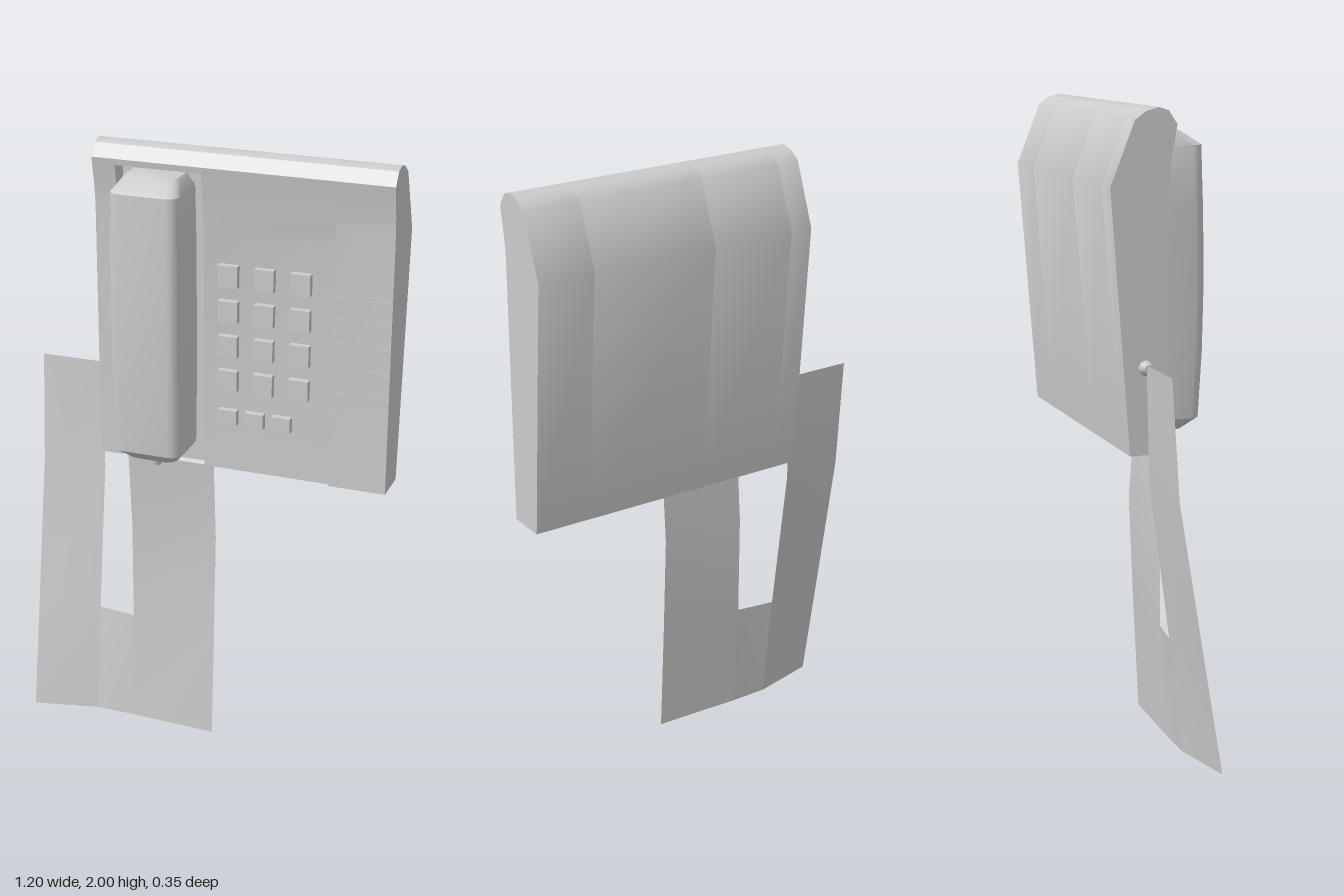
import * as THREE from 'three';
import { toCreasedNormals } from 'three/addons/utils/BufferGeometryUtils.js';

const grey = new THREE.MeshStandardMaterial({ color: 0xcccccc });
const sheet = new THREE.MeshStandardMaterial({ color: 0xcccccc, side: THREE.DoubleSide });

function add(parent, name, geometry, x = 0, y = 0, z = 0, material = grey) {
  const mesh = new THREE.Mesh(geometry, material);
  mesh.name = name;
  mesh.position.set(x, y, z);
  parent.add(mesh);
  return mesh;
}

// Shared back and rounded top of the housing, as [z, y]
const backProfile = [[-0.11, 0.96], [-0.172, 1.77], [-0.095, 1.965], [-0.06, 1.99],
  [-0.02, 2], [0.01, 1.99], [0.037, 1.95]];

// One slice of the housing between x0 and x1, with its own front profile
function housingSlice(front, x0, x1) {
  const pts = [...backProfile, ...front].map(([z, y]) => new THREE.Vector2(-z, y));
  const geo = new THREE.ExtrudeGeometry(new THREE.Shape(pts), { depth: x1 - x0, bevelEnabled: false });
  geo.rotateY(Math.PI / 2);
  geo.translate(x0, 0, 0);
  return toCreasedNormals(geo, 0.6);
}

// Surface through rings of equal length, closed with end caps
function loft(rings) {
  const n = rings[0].length, pos = [], idx = [];
  rings.forEach(r => r.forEach(p => pos.push(...p)));
  for (let k = 0; k < rings.length - 1; k++) {
    for (let i = 0; i < n; i++) {
      const a = k * n + i, b = k * n + (i + 1) % n;
      idx.push(a, b, b + n, a, b + n, a + n);
    }
  }
  const top = (rings.length - 1) * n;
  for (let i = 1; i < n - 1; i++) idx.push(0, i + 1, i, top, top + i, top + i + 1);
  const geo = new THREE.BufferGeometry();
  geo.setAttribute('position', new THREE.Float32BufferAttribute(pos, 3));
  geo.setIndex(idx);
  return toCreasedNormals(geo, 0.65);
}

// Handset cross-section: square at the back, rounded front corners
function handsetRing([y, w, front]) {
  const back = 0, r = 0.035, ring = [[-w, y, back]];
  for (const side of [-1, 1]) {
    for (let i = 0; i <= 4; i++) {
      const t = (i / 4) * Math.PI / 2;
      const a = side < 0 ? t : Math.PI / 2 - t;
      ring.push([side * (w - r + r * Math.cos(a)), y, front - r + r * Math.sin(a)]);
    }
  }
  ring.push([w, y, back]);
  return ring;
}

// Flat cord surface: a grid of rows, each [y, z at x0, z at x1]
function strip(x0, x1, rows) {
  const pos = [], idx = [];
  rows.forEach(([y, z0, z1], i) => {
    pos.push(x0, y, z0, x1, y, z1);
    if (i) idx.push(2 * i - 2, 2 * i, 2 * i - 1, 2 * i - 1, 2 * i, 2 * i + 1);
  });
  const geo = new THREE.BufferGeometry();
  geo.setAttribute('position', new THREE.Float32BufferAttribute(pos, 3));
  geo.setIndex(idx);
  geo.computeVertexNormals();
  return geo;
}

export function createModel() {
  const model = new THREE.Group();
  model.name = 'wallTelephone';

  // Housing: side strip, handset recess, keypad plate and index panel
  const housing = new THREE.Group();
  housing.name = 'housing';
  model.add(housing);
  const lip = [[0.032, 1.92], [0.02, 1.85], [0.015, 1.8]];
  const flush = [...lip, [0.015, 0.96]];
  add(housing, 'leftStrip', housingSlice(flush, -0.365, -0.29));
  add(housing, 'handsetRecess', housingSlice([[0.034, 1.93], [-0.03, 1.93], [-0.03, 0.96]], -0.29, -0.01));
  add(housing, 'keypadPlate', housingSlice([...lip, [0.003, 1.74], [0.003, 0.96]], -0.01, 0.41));
  add(housing, 'indexPanel', housingSlice(flush, 0.41, 0.595));

  // Index panel: dividing line and short tick marks on both edges
  add(housing, 'indexLine', new THREE.BoxGeometry(0.18, 0.004, 0.004), 0.502, 1.585, 0.015);
  for (let i = 0; i < 5; i++) {
    for (const x of [0.437, 0.565]) {
      add(housing, 'indexTick', new THREE.BoxGeometry(0.05, 0.004, 0.004), x, 1.52 - i * 0.08, 0.015);
    }
  }

  // Keys: four rows of three, and a lower row of small ones
  const keys = new THREE.Group();
  keys.name = 'keys';
  model.add(keys);
  for (let c = 0; c < 3; c++) {
    for (let r = 0; r < 4; r++) {
      add(keys, 'key', new THREE.BoxGeometry(0.064, 0.069, 0.03), 0.074 + c * 0.1165, 1.613 - r * 0.1145, 0.011);
    }
    add(keys, 'smallKey', new THREE.BoxGeometry(0.062, 0.05, 0.03), 0.074 + c * 0.089, 1.146, 0.011);
  }

  // Handset with ear and mouth pieces resting in the recess
  const handset = new THREE.Group();
  handset.name = 'handset';
  handset.position.x = -0.151;
  model.add(handset);
  const sections = [[0.988, 0.06, 0.078], [1.002, 0.082, 0.115], [1.04, 0.112, 0.16], [1.25, 0.115, 0.171],
    [1.47, 0.115, 0.175], [1.68, 0.115, 0.171], [1.88, 0.111, 0.165], [1.922, 0.085, 0.105]];
  add(handset, 'handsetBody', loft(sections.map(handsetRing)));
  for (const y of [1.12, 1.79]) {
    add(handset, 'handsetPad', new THREE.BoxGeometry(0.19, 0.2, 0.03), 0, y, -0.014);
  }

  // Plugs at both ends of the cord
  add(model, 'handsetPlug', new THREE.CylinderGeometry(0.024, 0.013, 0.035, 8), -0.153, 0.981, 0.052);
  const plug = add(model, 'housingPlug', new THREE.CylinderGeometry(0.014, 0.026, 0.03, 8), -0.376, 1.228, -0.06);
  plug.rotation.z = Math.PI / 2;

  // Flat, gently bent U-shaped cord
  const cord = new THREE.Group();
  cord.name = 'cord';
  model.add(cord);
  add(cord, 'cordLeft', strip(-0.6, -0.385,
    [[1.24, -0.065, -0.065], [0.87, -0.04, -0.055], [0.375, 0.042, 0.012], [0, 0.105, 0.055]]), 0, 0, 0, sheet);
  add(cord, 'cordBottom', strip(-0.385, -0.255, [[0.375, 0.012, 0.03], [0, 0.055, 0.055]]), 0, 0, 0, sheet);
  add(cord, 'cordRight', strip(-0.255, 0.04,
    [[0.985, 0.05, 0.05], [0.72, 0.028, 0.03], [0.375, 0.03, 0.045], [0, 0.055, 0.065]]), 0, 0, 0, sheet);

  return model;
}
